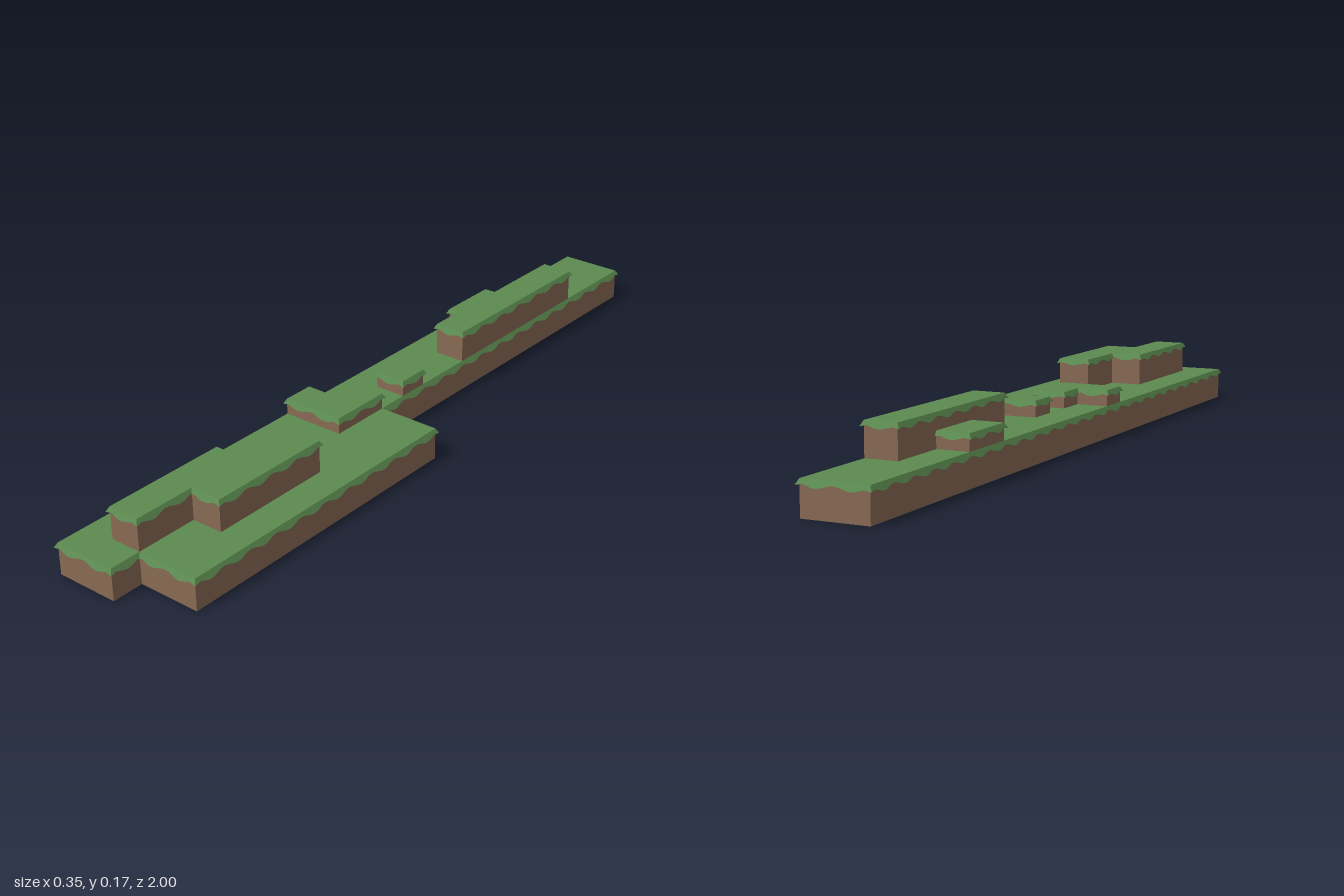
import * as THREE from 'three';

const U = 0.0826;      // one grid cell
const STEPS = 8;       // samples of the wavy grass edge per cell
const SLOPE = 0.53;    // outward flare of the grass per unit of drop

const grassMat = new THREE.MeshStandardMaterial({ color: 0x5c8a50, flatShading: true });
const dirtMat = new THREE.MeshStandardMaterial({ color: 0x886a54, flatShading: true });

// Outlines are [x, z] in cells, counter-clockwise seen from above
const rect = (x0, z0, x1, z1) => [[x0, z1], [x1, z1], [x1, z0], [x0, z0]];

function toShape(outline) {
  return new THREE.Shape(outline.map(([x, z]) => new THREE.Vector2(x * U, -z * U)));
}

// Sample the outline: wall point, outward direction and hanging depth of the grass
function edgeSamples(outline) {
  const n = outline.length;
  const edges = outline.map((p, i) => {
    const q = outline[(i + 1) % n];
    const len = Math.hypot(q[0] - p[0], q[1] - p[1]);
    const d = [(q[0] - p[0]) / len, (q[1] - p[1]) / len];
    return { p, d, len, out: [-d[1], d[0]] };
  });
  const samples = [];
  edges.forEach((e, i) => {
    const prev = edges[(i + n - 1) % n];
    const count = Math.round(e.len * STEPS);
    for (let k = 0; k < count; k++) {
      const t = k / STEPS;
      const corner = k === 0;
      samples.push({
        x: (e.p[0] + e.d[0] * t) * U,
        z: (e.p[1] + e.d[1] * t) * U,
        nx: e.out[0] + (corner ? prev.out[0] : 0),
        nz: e.out[1] + (corner ? prev.out[1] : 0),
        drop: corner ? 0.013 : 0.0128 - 0.0038 * Math.cos(2 * Math.PI * t),
      });
    }
  });
  return samples;
}

// Flared, wavy grass rim with a closed underside
function lipGeometry(outline, top) {
  const rings = edgeSamples(outline).map((s) => {
    const o = s.drop * SLOPE;
    return [
      [s.x, top, s.z],
      [s.x + s.nx * o, top - s.drop, s.z + s.nz * o],
      [s.x, top - s.drop, s.z],
    ];
  });
  const pos = [];
  rings.forEach(([a, c, e], i) => {
    const [b, d, f] = rings[(i + 1) % rings.length];
    pos.push(...c, ...d, ...b, ...c, ...b, ...a);
    pos.push(...c, ...e, ...f, ...c, ...f, ...d);
  });
  const geo = new THREE.BufferGeometry();
  geo.setAttribute('position', new THREE.Float32BufferAttribute(pos, 3));
  geo.computeVertexNormals();
  return geo;
}

function addMesh(group, name, geo, mat) {
  const mesh = new THREE.Mesh(geo, mat);
  mesh.name = name;
  group.add(mesh);
}

// One terrace: dirt body, flat grass top and hanging grass rim
function terrace(name, outline, bottom, top) {
  const group = new THREE.Group();
  group.name = name;
  const shape = toShape(outline);
  const dirt = new THREE.ExtrudeGeometry(shape, { depth: top - bottom - 0.004, bevelEnabled: false });
  dirt.rotateX(-Math.PI / 2).translate(0, bottom, 0);
  const lawn = new THREE.ShapeGeometry(shape);
  lawn.rotateX(-Math.PI / 2).translate(0, top, 0);
  addMesh(group, 'dirtBody', dirt, dirtMat);
  addMesh(group, 'grassTop', lawn, grassMat);
  addMesh(group, 'grassRim', lipGeometry(outline, top), grassMat);
  return group;
}

export function createModel() {
  const model = new THREE.Group();
  model.name = 'grassyTerraces';
  const low = U * 1.5;
  const high = U * 2;

  const base = [[-2, 12], [0, 12], [0, 11], [2, 11], [2, 1], [0, 1], [0, -12], [-2, -12]];
  const frontBlock = [[-1, 11], [0, 11], [0, 9], [1, 9], [1, 5], [0, 5], [0, 7], [-1, 7]];
  const middleStep = [[-2, 3], [0, 3], [0, 1], [-1, 1], [-1, 2], [-2, 2]];

  model.add(
    terrace('base', base, 0, U),
    terrace('frontBlock', frontBlock, U, high),
    terrace('middleStep', middleStep, U, low),
    terrace('smallStep', rect(-1, -1, 0, 0), U, low),
    terrace('backBlock', rect(-1, -9, 0, -3), U, high),
    terrace('backStep', rect(-2, -7, -1, -5), U, low),
  );
  return model;
}
